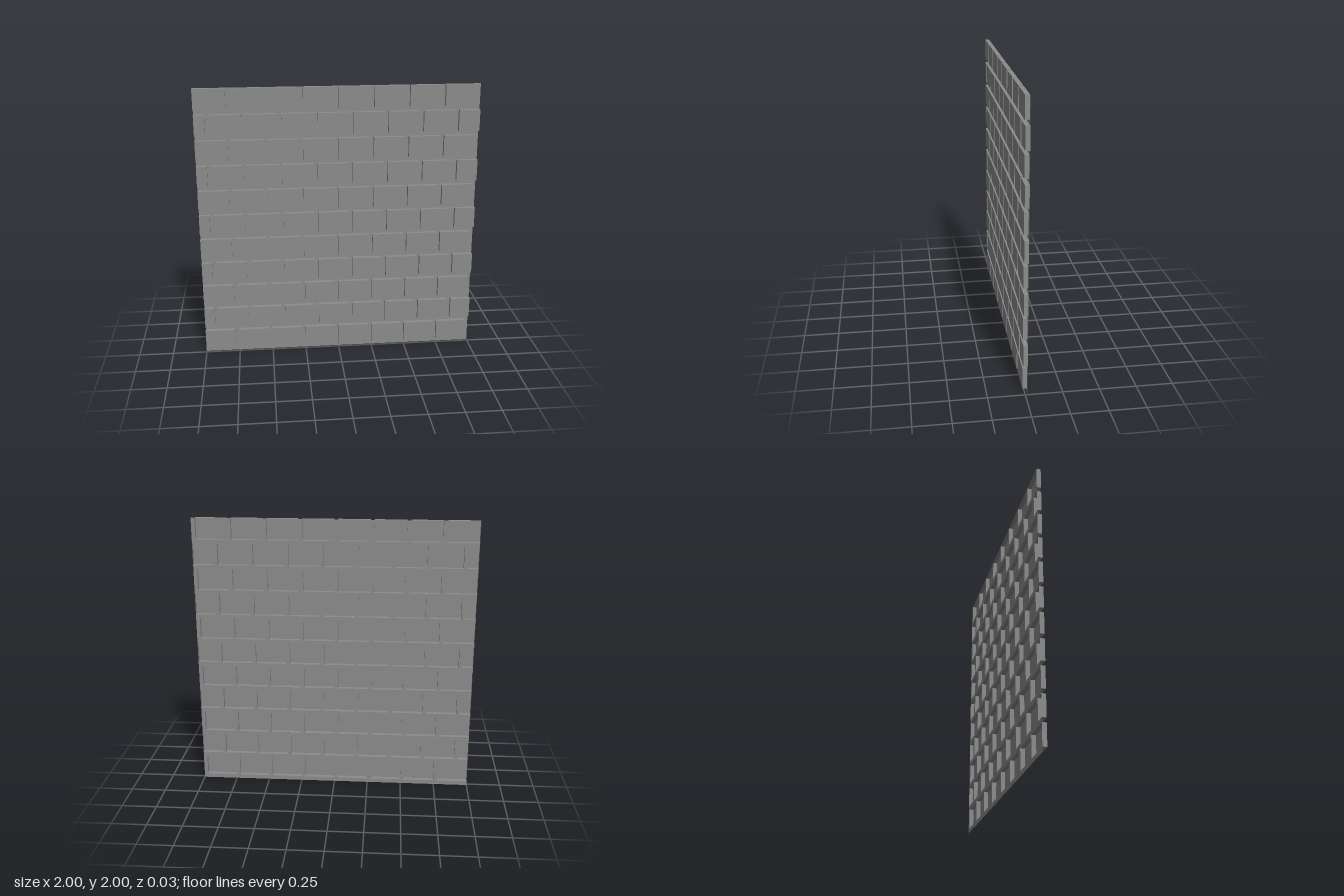
import * as THREE from 'three';
import { mergeGeometries } from 'three/addons/utils/BufferGeometryUtils.js';

const ROWS = 11, PITCH_X = 0.25, PITCH_Y = 2 / ROWS;
const JOINT_X = 0.027, JOINT_Y = 0.031, DEPTH = 0.03;

// Hollow brick: a box with an open back
function brickShell(x0, x1, y0, y1) {
  const g = new THREE.BoxGeometry(x1 - x0, y1 - y0, DEPTH);
  g.setIndex(Array.from(g.index.array).slice(0, 30));
  g.clearGroups();
  return g.translate((x0 + x1) / 2, (y0 + y1) / 2, 0);
}

// Flat mortar strip lying in the back plane
function mortarStrip(x0, x1, y0, y1) {
  const g = new THREE.PlaneGeometry(x1 - x0, y1 - y0);
  return g.translate((x0 + x1) / 2, (y0 + y1) / 2, -DEPTH / 2);
}

export function createModel() {
  const wall = new THREE.Group();
  wall.name = 'brickWall';
  const stone = new THREE.MeshStandardMaterial({ color: 0x8c8c8c, side: THREE.DoubleSide });
  stone.name = 'stoneGrey';

  const mortar = [];
  for (let row = 0; row < ROWS; row++) {
    const base = row * PITCH_Y, y0 = base + JOINT_Y, y1 = base + PITCH_Y;
    const start = row % 2 ? -1.148 : -1; // every other course is shifted
    const bricks = [];
    // Bed joint below the course
    mortar.push(mortarStrip(-1, 1, base, y0));
    for (let x = start; x < 0.99; x += PITCH_X) {
      const end = x + PITCH_X - JOINT_X;
      bricks.push(brickShell(Math.max(x, -1), Math.min(end, 1), y0, y1));
      // Head joint after the brick
      if (end < 1) mortar.push(mortarStrip(end, Math.min(x + PITCH_X, 1), y0, y1));
    }
    const course = new THREE.Mesh(mergeGeometries(bricks), stone);
    course.name = `brickCourse${row + 1}`;
    wall.add(course);
  }

  const joints = new THREE.Mesh(mergeGeometries(mortar), stone);
  joints.name = 'mortarJoints';
  wall.add(joints);
  return wall;
}
